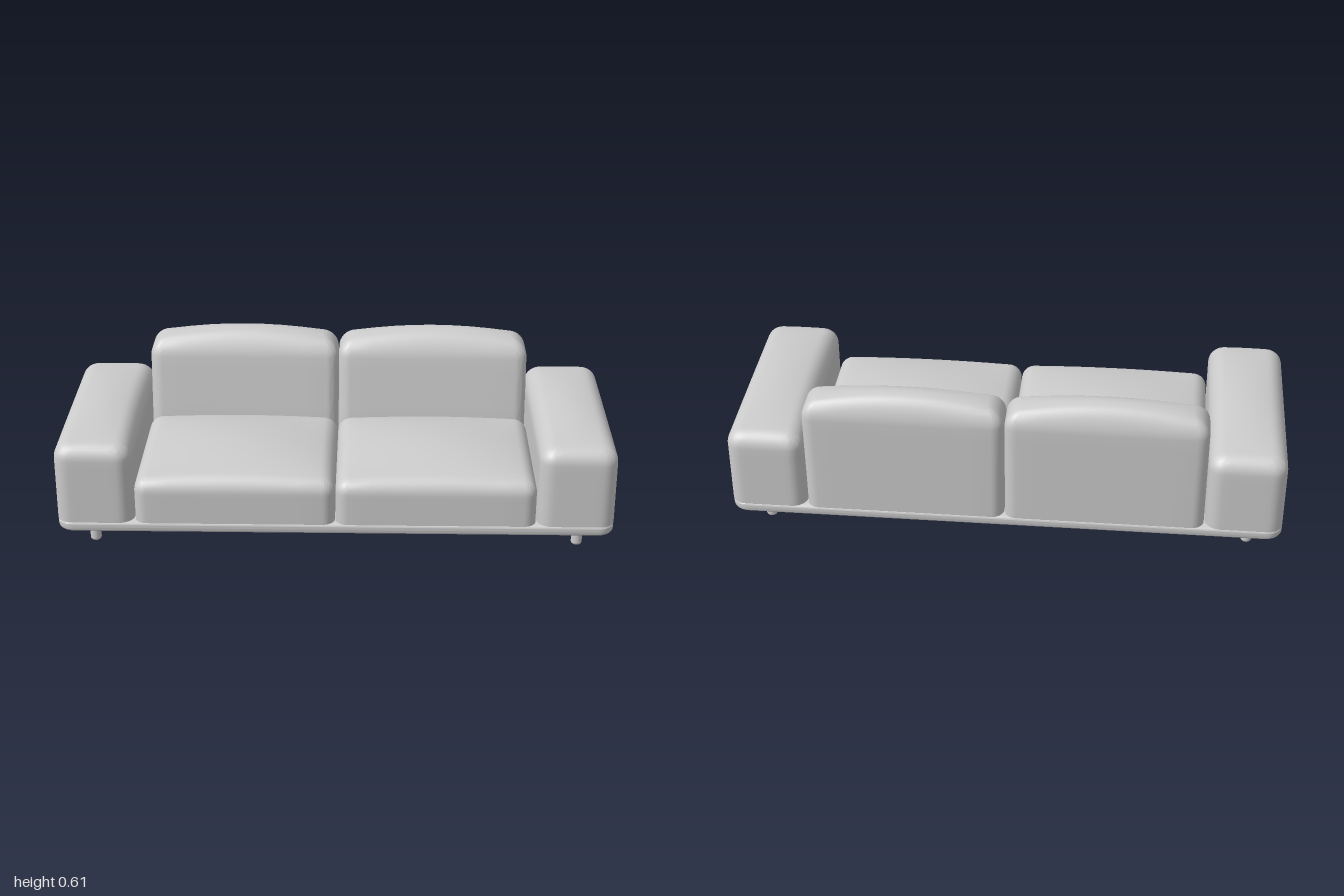
import * as THREE from 'three';
import { toCreasedNormals } from 'three/addons/utils/BufferGeometryUtils.js';

const material = new THREE.MeshStandardMaterial({ color: 0xcccccc });

// Rounded-rectangle outline in x/z with subdivided straight sides
function outline(hw, hd, r) {
  const pts = [];
  const corners = [[1, 1], [-1, 1], [-1, -1], [1, -1]];
  const ARC = 8, SIDE = 8;
  corners.forEach(([sx, sz], c) => {
    for (let i = 0; i <= ARC; i++) {
      const a = (c + i / ARC) * Math.PI / 2;
      pts.push([sx * (hw - r) + r * Math.cos(a), sz * (hd - r) + r * Math.sin(a)]);
    }
    // points along the straight side to the next corner
    const [nx, nz] = corners[(c + 1) % 4];
    const a = (c + 1) * Math.PI / 2;
    const [x0, z0] = pts[pts.length - 1];
    const x1 = nx * (hw - r) + r * Math.cos(a), z1 = nz * (hd - r) + r * Math.sin(a);
    for (let i = 1; i < SIDE; i++) {
      const t = i / SIDE;
      pts.push([x0 + (x1 - x0) * t, z0 + (z1 - z0) * t]);
    }
  });
  return pts;
}

// Padded block: flat or rounded bottom, straight walls, rounded top edge, domed top
function paddedBlock({ w, d, y0, y1, corner, round, roundBottom = 0, crown = 0, lean = null }) {
  const hw = w / 2, hd = d / 2;
  const rings = []; // [inset, y, scale]
  const STEPS = 8;
  rings.push([roundBottom, y0, 0]);
  if (roundBottom) {
    for (let i = 0; i < STEPS; i++) {
      const a = (i / STEPS) * Math.PI / 2;
      rings.push([roundBottom * (1 - Math.sin(a)), y0 + roundBottom * (1 - Math.cos(a)), 1]);
    }
  }
  const low = y0 + roundBottom, high = y1 - crown - round;
  for (let i = 0; i <= 8; i++) rings.push([0, low + (high - low) * i / 8, 1]);
  for (let i = 1; i <= STEPS; i++) {
    const a = (i / STEPS) * Math.PI / 2;
    rings.push([round * (1 - Math.cos(a)), high + round * Math.sin(a), 1]);
  }
  for (let i = 7; i >= 0; i--) rings.push([round, high + round, i / 8]);

  const pos = [], index = [];
  let n = 0;
  rings.forEach(([inset, y, s]) => {
    const ring = outline(hw - inset, hd - inset, Math.max(corner - inset * 0.8, 0.008));
    n = ring.length;
    ring.forEach(([px, pz]) => {
      const x = px * s;
      let z = pz * s, h = y;
      if (y > high) h += crown * Math.max(0, 1 - (x / hw) ** 2) * Math.max(0, 1 - (z / hd) ** 2);
      if (lean) z -= lean(h) * (z + hd) / d;
      pos.push(x, h, z);
    });
  });
  for (let k = 0; k < rings.length - 1; k++) {
    for (let i = 0; i < n; i++) {
      const j = (i + 1) % n, a = k * n + i, b = k * n + j;
      if (rings[k][2] > 0) index.push(a, a + n, b);
      if (rings[k + 1][2] > 0) index.push(b, a + n, b + n);
    }
  }
  const geo = new THREE.BufferGeometry();
  geo.setAttribute('position', new THREE.Float32BufferAttribute(pos, 3));
  geo.setIndex(index);
  return toCreasedNormals(geo, Math.PI / 4);
}

export function createModel() {
  const sofa = new THREE.Group();
  sofa.name = 'sofa';
  const add = (name, geo, x = 0, y = 0, z = 0) => {
    const mesh = new THREE.Mesh(geo, material);
    mesh.name = name;
    mesh.position.set(x, y, z);
    sofa.add(mesh);
  };

  // Thin platform
  add('base', paddedBlock({ w: 2, d: 0.804, y0: 0.09, y1: 0.13, corner: 0.06, round: 0.01, roundBottom: 0.018 }));

  const arm = paddedBlock({ w: 0.278, d: 0.804, y0: 0.13, y1: 0.45, corner: 0.055, round: 0.055, crown: 0.025 });
  const seat = paddedBlock({ w: 0.718, d: 0.588, y0: 0.13, y1: 0.342, corner: 0.045, round: 0.05, crown: 0.045 });
  // Back cushion: upright rear, front face leaning backwards
  const back = paddedBlock({
    w: 0.718, d: 0.21, y0: 0.13, y1: 0.607, corner: 0.045, round: 0.06, crown: 0.04,
    lean: (y) => 0.15 * Math.max(0, y - 0.25),
  });

  // Leg with rounded foot
  const profile = [new THREE.Vector2(0, 0)];
  for (let i = 0; i <= 6; i++) {
    const a = (i / 6) * Math.PI / 2;
    profile.push(new THREE.Vector2(0.008 + 0.012 * Math.sin(a), 0.012 * (1 - Math.cos(a))));
  }
  profile.push(new THREE.Vector2(0.02, 0.1));
  const leg = new THREE.LatheGeometry(profile, 24);

  for (const [side, s] of [['left', 1], ['right', -1]]) {
    add(side + 'Arm', arm, s * 0.861);
    add(side + 'SeatCushion', seat, s * 0.36, 0, 0.108);
    add(side + 'BackCushion', back, s * 0.36, 0, -0.297);
    add(side + 'FrontLeg', leg, s * 0.88, 0, 0.284);
    add(side + 'BackLeg', leg, s * 0.88, 0, -0.284);
  }
  return sofa;
}
